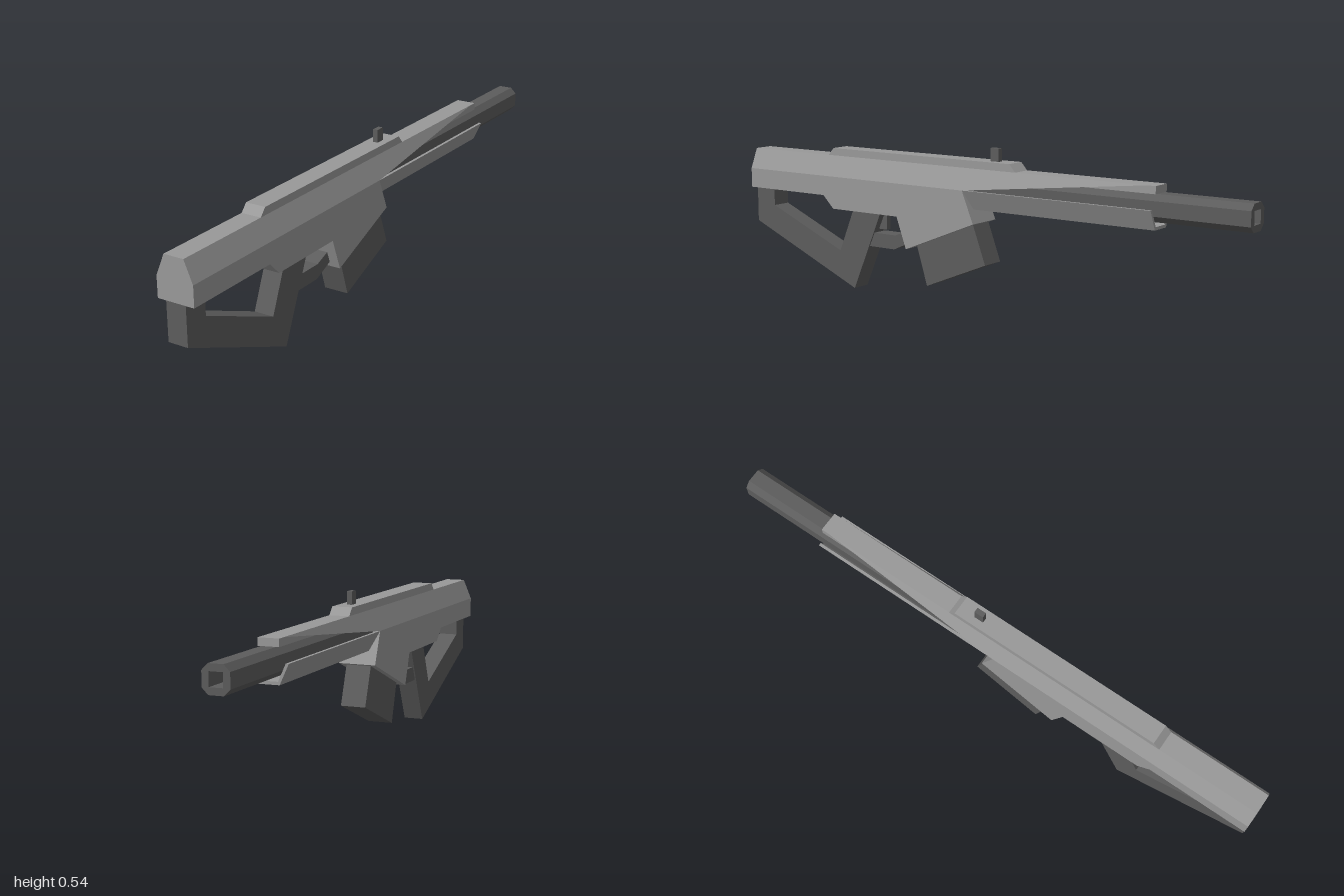
import * as THREE from 'three';
import { ConvexGeometry } from 'three/addons/geometries/ConvexGeometry.js';

const shell = new THREE.MeshStandardMaterial({ color: 0x999999 });
shell.name = 'light grey shell';
const metal = new THREE.MeshStandardMaterial({ color: 0x5c5c5c });
metal.name = 'dark grey metal';

const toShape = (pts) => new THREE.Shape(pts.map(([a, b]) => new THREE.Vector2(a, b)));

// Side outline given as [z, y], extruded symmetrically across x
function sideSlab(pts, halfWidth) {
  const g = new THREE.ExtrudeGeometry(toShape(pts), { depth: halfWidth * 2, bevelEnabled: false });
  g.translate(0, 0, -halfWidth);
  g.rotateY(-Math.PI / 2);
  return g;
}

// Cross-section given as [x, y], extruded from z0 to z1
function lengthwise(shape, z0, z1) {
  const g = new THREE.ExtrudeGeometry(shape, { depth: z1 - z0, bevelEnabled: false });
  g.translate(0, 0, z0);
  return g;
}

function box(w, y0, y1, z0, z1) {
  const g = new THREE.BoxGeometry(w, y1 - y0, z1 - z0);
  g.translate(0, (y0 + y1) / 2, (z0 + z1) / 2);
  return g;
}

export function createModel() {
  const model = new THREE.Group();
  model.name = 'rifle';
  const add = (name, geometry, material) => {
    const m = new THREE.Mesh(geometry, material);
    m.name = name;
    model.add(m);
  };

  // Receiver: straight lower walls, tapered upper half
  add('receiverLower', sideSlab([
    [1, 0.4], [1, 0.33], [0.645, 0.33], [0.6, 0.285], [0.31, 0.285],
    [0.27, 0.175], [-0.015, 0.29], [0.03, 0.4],
  ], 0.065), shell);
  add('receiverUpper', lengthwise(toShape([
    [-0.065, 0.4], [0.065, 0.4], [0.035, 0.472], [-0.035, 0.472],
  ]), 0.03, 1), shell);
  add('topRiser', sideSlab([
    [0.645, 0.47], [0.62, 0.498], [-0.14, 0.498], [-0.165, 0.47],
  ], 0.035), shell);

  // Forend: tapering shoulders, top rail and an open lower tray
  const corners = [];
  for (const s of [-1, 1]) {
    corners.push(
      new THREE.Vector3(s * 0.065, 0.4, 0.03),
      new THREE.Vector3(s * 0.035, 0.472, 0.03),
      new THREE.Vector3(s * 0.035, 0.472, -0.65),
    );
  }
  add('forendShoulders', new ConvexGeometry(corners), shell);
  add('forendRail', box(0.07, 0.447, 0.472, -0.68, 0.03), shell);
  add('forendTray', lengthwise(toShape([
    [0.065, 0.4], [0.055, 0.4], [0.03, 0.345], [-0.03, 0.345], [-0.055, 0.4],
    [-0.065, 0.4], [-0.035, 0.335], [0.035, 0.335],
  ]), -0.68, 0.03), shell);

  // Barrel: eight-sided with a square bore
  const r = 0.044, c = 0.024, cy = 0.403, b = 0.022;
  const barrel = toShape([
    [r, cy - c], [r, cy + c], [c, cy + r], [-c, cy + r],
    [-r, cy + c], [-r, cy - c], [-c, cy - r], [c, cy - r],
  ]);
  barrel.holes.push(toShape([[-b, cy - b], [-b, cy + b], [b, cy + b], [b, cy - b]]));
  add('barrel', lengthwise(barrel, -1, 0.02), metal);

  // Magazine, leaning forward in its well
  add('magazine', sideSlab([
    [0.25, 0.23], [0.195, 0.052], [-0.05, 0.152], [0.005, 0.3],
  ], 0.044), metal);

  // Stock and grip in one bent frame
  add('stockGrip', sideSlab([
    [1, 0.34], [1, 0.2], [0.53, 0], [0.4, 0.3], [0.525, 0.3],
    [0.595, 0.13], [0.915, 0.265], [0.915, 0.34],
  ], 0.035), metal);

  // Trigger and its guard
  add('triggerGuard', sideSlab([
    [0.475, 0.21], [0.475, 0.16], [0.35, 0.16], [0.26, 0.2], [0.28, 0.235], [0.345, 0.21],
  ], 0.03), metal);
  add('trigger', box(0.02, 0.222, 0.3, 0.398, 0.44), metal);

  // Post sight
  add('sight', box(0.018, 0.49, 0.542, -0.08, -0.047), metal);

  return model;
}
